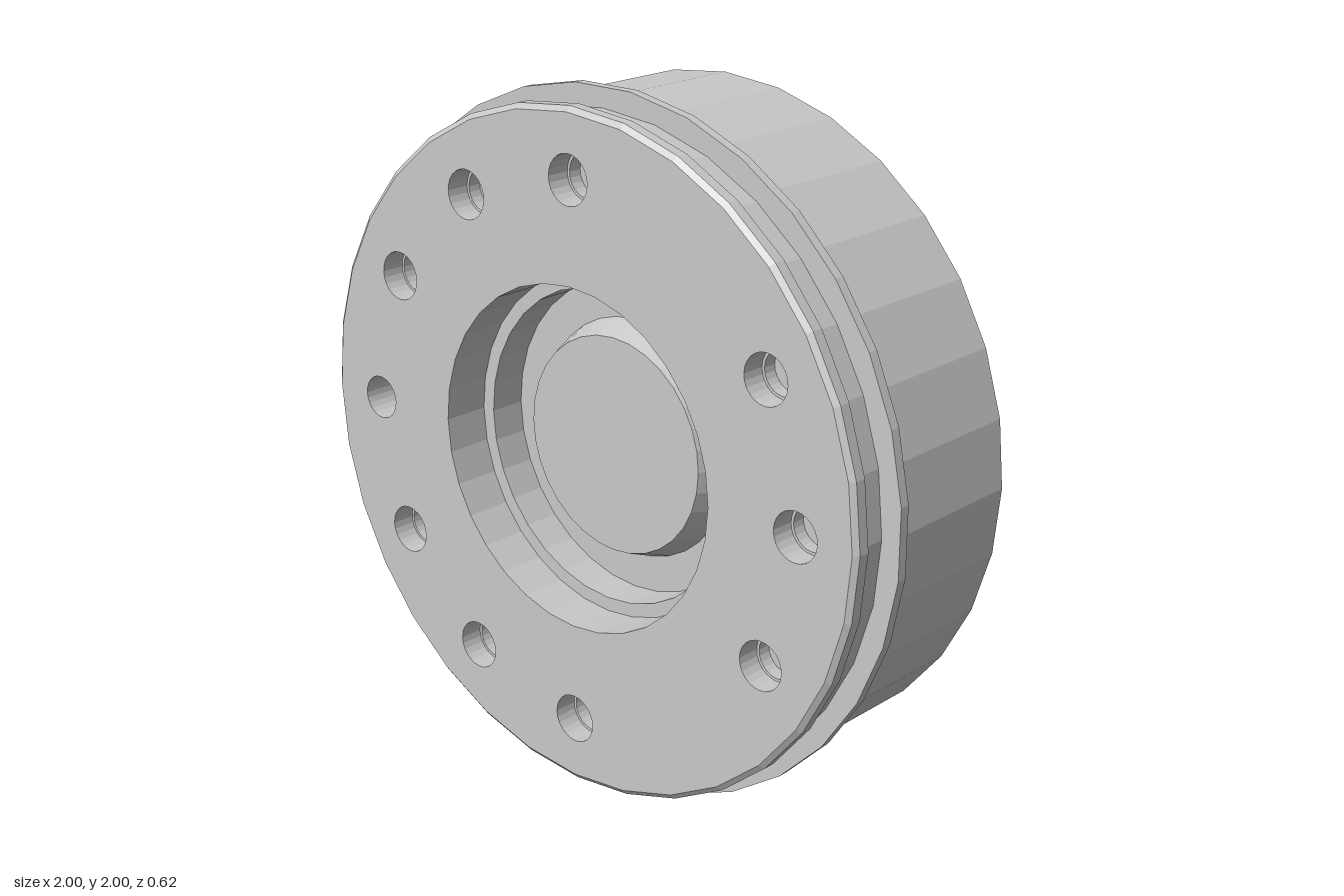
import * as THREE from 'three';

const SIDES = 32;
const FRONT = 0.31;

// Flat facets: every face gets its own normal
function faceted(geometry) {
  const g = geometry.index ? geometry.toNonIndexed() : geometry;
  g.computeVertexNormals();
  return g;
}

// Turned part around the z axis, profile given as [radius, z]
function turned(profile, sides = SIDES) {
  const points = profile.map(([r, z]) => new THREE.Vector2(r, z));
  return faceted(new THREE.LatheGeometry(points, sides).rotateX(Math.PI / 2));
}

// Regular polygon outline as a list of points
function ring(radius, sides = SIDES, cx = 0, cy = 0) {
  return Array.from({ length: sides }, (_, i) => {
    const a = (i / sides) * Math.PI * 2;
    return new THREE.Vector2(cx + radius * Math.cos(a), cy + radius * Math.sin(a));
  });
}

export function createModel() {
  const model = new THREE.Group();
  const grey = new THREE.MeshStandardMaterial({ color: 0xc8c8c8 });
  grey.name = 'plain grey';

  const add = (name, geometry) => {
    const mesh = new THREE.Mesh(geometry, grey);
    mesh.name = name;
    model.add(mesh);
    return mesh;
  };

  // Drum: back recess, outer wall, groove and chamfered front lip
  add('body', turned([
    [0, -0.16], [0.78, -0.16], [0.78, -0.31], [0.97, -0.31],
    [0.97, 0.165], [0.945, 0.165], [0.945, 0.265],
    [0.97, 0.265], [0.97, 0.298], [0.955, FRONT],
  ]));

  // Stepped centre bore with a tapered boss on its floor
  add('centreBore', turned([
    [0.49, FRONT], [0.49, 0.17], [0.45, 0.17], [0.45, 0.06], [0.345, 0.06],
  ]));
  add('centreBoss', turned([[0.345, 0.06], [0.312, 0.145], [0, 0.145]]));

  // Front face, pierced by the bore and the bolt holes
  const face = new THREE.Shape(ring(0.955));
  face.holes.push(new THREE.Path(ring(0.49)));
  for (const degrees of [0, 30, 90, 120, 150, 180, 210, 240, 270, 330]) {
    const a = THREE.MathUtils.degToRad(degrees);
    const x = 0.777 * Math.cos(a);
    const y = 0.777 * Math.sin(a);
    const plain = degrees === 180;
    const r = plain ? 0.063 : 0.07;
    face.holes.push(new THREE.Path(ring(r, 24, x, y)));
    const profile = plain
      ? [[r, FRONT], [r, 0.2], [0, 0.2]]
      : [[r, FRONT], [r, 0.24], [0.062, 0.24], [0.062, 0.2], [0, 0.2]];
    add('boltHole', turned(profile, 24)).position.set(x, y, 0);
  }
  add('frontFace', faceted(new THREE.ShapeGeometry(face).translate(0, 0, FRONT)));

  // Flange with a small round locating notch at the lower edge
  const flangeRadius = 1 / Math.cos(Math.PI / SIDES);
  const notchAngle = THREE.MathUtils.degToRad(241);
  const notchRadius = 0.027;
  const centre = new THREE.Vector2(Math.cos(notchAngle), Math.sin(notchAngle));
  const outline = [];
  for (let i = 0; i < SIDES; i++) {
    const a = ((i + 0.5) / SIDES) * Math.PI * 2;
    const p = new THREE.Vector2(Math.cos(a), Math.sin(a)).multiplyScalar(flangeRadius);
    if (p.distanceTo(centre) > notchRadius + 0.005) outline.push(p);
    const next = ((i + 1.5) / SIDES) * Math.PI * 2;
    if (a < notchAngle && next >= notchAngle) {
      for (let k = 0; k <= 8; k++) {
        const t = notchAngle - Math.PI / 2 - (k / 8) * Math.PI;
        outline.push(new THREE.Vector2(
          centre.x + notchRadius * Math.cos(t),
          centre.y + notchRadius * Math.sin(t),
        ));
      }
    }
  }
  const flange = new THREE.Shape(outline);
  flange.holes.push(new THREE.Path(ring(0.93)));
  const flangeGeometry = new THREE.ExtrudeGeometry(flange, { depth: 0.03, bevelEnabled: false });
  add('flange', faceted(flangeGeometry.translate(0, 0, 0.148)));

  model.position.y = 1;
  return model;
}
